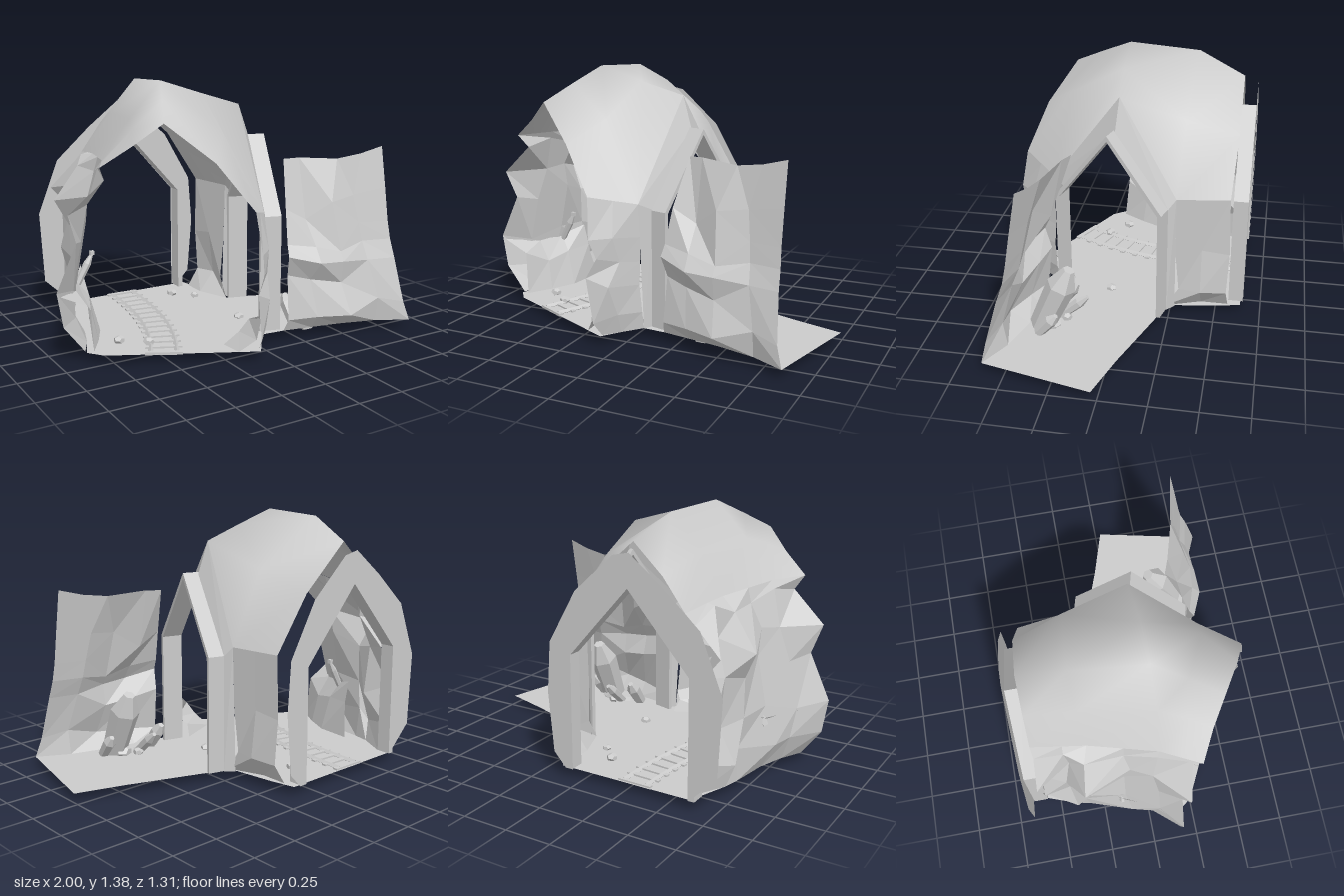
import * as THREE from 'three';

const rock = new THREE.MeshStandardMaterial({ color: 0xcccccc, side: THREE.DoubleSide, flatShading: true });
const smooth = new THREE.MeshStandardMaterial({ color: 0xcccccc, side: THREE.DoubleSide });
const FLOOR = 0.055;

// Surface through rows of [x, y, z] points
function loft(rows, name, material = rock) {
  const n = rows[0].length, index = [];
  for (let i = 0; i < rows.length - 1; i++) {
    for (let j = 0; j < n - 1; j++) {
      const a = i * n + j, b = a + n;
      index.push(a, b, a + 1, b, b + 1, a + 1);
    }
  }
  const g = new THREE.BufferGeometry();
  g.setAttribute('position', new THREE.Float32BufferAttribute(rows.flat(2), 3));
  g.setIndex(index);
  g.computeVertexNormals();
  const m = new THREE.Mesh(g, material);
  m.name = name;
  return m;
}

// Pointed arch outline: posts up to a shoulder, then straight to the apex
function archPoints(half, shoulder, apex) {
  return [[-half, FLOOR], [-half, shoulder], [0, apex], [half, shoulder], [half, FLOOR]];
}

// Thin pointed frame, extruded from z = 0 to z = depth
function archFrame(half, shoulder, apex, t, depth, name) {
  const outer = archPoints(half, shoulder, apex);
  const inner = archPoints(half - t, shoulder - t * 0.4, apex - t * 1.4).reverse();
  const shape = new THREE.Shape([...outer, ...inner].map(p => new THREE.Vector2(...p)));
  const m = new THREE.Mesh(new THREE.ExtrudeGeometry(shape, { depth, bevelEnabled: false }), rock);
  m.name = name;
  return m;
}

// Six-sided crystal from base to a blunt tip
function crystal(from, to, r, name) {
  const a = new THREE.Vector3(...from), b = new THREE.Vector3(...to);
  const len = a.distanceTo(b);
  const profile = [[0, 0], [r * 0.85, 0], [r, len * 0.72], [r * 0.4, len], [0, len]].map(p => new THREE.Vector2(...p));
  const m = new THREE.Mesh(new THREE.LatheGeometry(profile, 6), rock);
  m.position.copy(a);
  m.quaternion.setFromUnitVectors(new THREE.Vector3(0, 1, 0), b.sub(a).normalize());
  m.name = name;
  return m;
}

export function createModel() {
  const group = new THREE.Group();

  // Floor of the main tunnel and the side passage
  const outline = [[-0.62, -0.64], [0.13, -0.64], [0.16, -0.5], [0.2, -0.23], [0.32, -0.2], [0.74, -0.05], [1, 0.03],
    [0.87, 0.62], [0.7, 0.53], [0.49, 0.47], [0.33, 0.44], [0.17, 0.41], [0.04, 0.4], [-0.1, 0.6],
    [-0.8, 0.25], [-0.86, 0.17], [-0.8, 0.03], [-0.75, -0.12], [-0.72, -0.33], [-0.7, -0.42]];
  const floorGeo = new THREE.ShapeGeometry(new THREE.Shape(outline.map(([x, z]) => new THREE.Vector2(x, -z))));
  const floor = new THREE.Mesh(floorGeo.rotateX(-Math.PI / 2), rock);
  floor.position.y = FLOOR;
  floor.name = 'floor';
  group.add(floor);

  // Vaulted roof, front section to back; each runs left eave, crest, right springing line
  group.add(loft([
    [[-0.8, 1, 0.25], [-0.66, 1.1, 0.32], [-0.53, 1.21, 0.4], [-0.32, 1.02, 0.53], [-0.15, 0.78, 0.62]],
    [[-0.75, 1, 0.15], [-0.6, 1.16, 0.19], [-0.45, 1.3, 0.23], [-0.18, 1.14, 0.36], [0.03, 0.72, 0.42]],
    [[-0.7, 1, 0.05], [-0.55, 1.2, 0.06], [-0.37, 1.385, 0.06], [-0.13, 1.31, 0.06], [0.11, 1.24, 0.04]],
    [[-0.6, 0.98, -0.3], [-0.48, 1.19, -0.32], [-0.33, 1.37, -0.33], [0.06, 1.12, -0.31], [0.22, 0.73, -0.28]],
    [[-0.55, 0.95, -0.58], [-0.43, 1.11, -0.58], [-0.27, 1.26, -0.58], [0, 1.02, -0.58], [0.18, 0.73, -0.56]],
  ], 'vault', smooth));

  // Right wall, either side of the side doorway
  group.add(loft([
    [[-0.15, 0.78, 0.62], [-0.06, 0.75, 0.52], [0.03, 0.72, 0.42]],
    [[-0.13, 0.57, 0.655], [-0.04, 0.57, 0.57], [0.04, 0.55, 0.42]],
    [[-0.1, 0.47, 0.63], [-0.02, 0.44, 0.53], [0.04, 0.42, 0.42]],
    [[-0.15, 0.37, 0.65], [-0.05, 0.32, 0.6], [0.04, 0.3, 0.43]],
    [[-0.12, 0.13, 0.635], [-0.03, 0.16, 0.54], [0.05, 0.15, 0.42]],
    [[-0.1, FLOOR, 0.58], [-0.03, FLOOR, 0.5], [0.05, FLOOR, 0.4]],
  ], 'rightFrontWall'));
  group.add(loft([
    [[0.22, 0.73, -0.28], [0.2, 0.73, -0.42], [0.18, 0.73, -0.56]],
    [[0.21, 0.4, -0.28], [0.19, 0.42, -0.42], [0.18, 0.4, -0.57]],
    [[0.2, 0.17, -0.3], [0.22, 0.17, -0.42], [0.19, 0.16, -0.56]],
    [[0.2, FLOOR, -0.23], [0.13, FLOOR, -0.42], [0.13, FLOOR, -0.57]],
  ], 'rightBackWall'));
  // Inner foot of the front pillar
  group.add(loft([
    [[-0.12, 0.24, 0.63], [-0.11, 0.2, 0.5], [0.04, 0.16, 0.4]],
    [[-0.14, 0.13, 0.62], [-0.15, 0.13, 0.47], [0, 0.12, 0.36]],
    [[-0.2, FLOOR, 0.55], [-0.21, FLOOR, 0.42], [0.02, FLOOR, 0.32]],
  ], 'pillarFoot'));

  // Side doorway: frame turned to follow the passage, and a collar back to the vault
  const turn = 1.305, center = new THREE.Vector3(0.135, 0, 0.055);
  const sideFrame = archFrame(0.31, 0.68, 1.075, 0.022, 0.115, 'sideDoorFrame');
  sideFrame.position.copy(center);
  sideFrame.rotation.y = turn;
  group.add(sideFrame);
  const frameEdge = archPoints(0.305, 0.68, 1.065).map(([u, y]) =>
    [center.x + 0.03 + u * Math.cos(turn), y, center.z - u * Math.sin(turn)]);
  group.add(loft([frameEdge, [[0.05, FLOOR, 0.4], [0.03, 0.72, 0.42], [0.11, 1.24, 0.04],
    [0.22, 0.73, -0.28], [0.2, FLOOR, -0.28]]], 'sideDoorCollar'));

  // Back doorway: deep frame and the thin facing slab around it
  const backFrame = archFrame(0.37, 0.68, 1.09, 0.03, 0.08, 'backDoorFrame');
  backFrame.position.set(-0.28, 0, -0.652);
  group.add(backFrame);
  const facing = [[0.1, FLOOR], [0.17, 0.13], [0.2, 0.45], [0.18, 0.72], [0.02, 1], [-0.2, 1.2], [-0.29, 1.22],
    [-0.47, 1.08], [-0.67, 0.9], [-0.79, 0.6], [-0.77, 0.2], [-0.62, FLOOR]];
  const hole = archPoints(0.335, 0.67, 1.05).map(([x, y]) => [x - 0.28, y]);
  const slabShape = new THREE.Shape([...facing, ...hole].map(p => new THREE.Vector2(...p)));
  const slab = new THREE.Mesh(new THREE.ShapeGeometry(slabShape), rock);
  slab.position.z = -0.654;
  slab.name = 'backFacing';
  group.add(slab);

  // Jagged left wall: x per station, from the floor up, closed by the vault's eave
  const stationZ = [0.15, 0.03, -0.12, -0.33, -0.42, -0.57];
  const leftRows = [
    [FLOOR, -0.86, -0.8, -0.75, -0.72, -0.7, -0.62],
    [0.2, -0.97, -0.85, -0.82, -0.72, -0.74, -0.64],
    [0.38, -1, -0.87, -0.77, -0.74, -0.66, -0.7],
    [0.62, -0.89, -0.82, -0.72, -0.74, -0.69, -0.64],
    [0.77, -0.94, -0.77, -0.72, -0.81, -0.63, -0.74],
    [0.93, -0.76, -0.72, -0.67, -0.68, -0.62, -0.6],
  ].map(([y, ...xs], r) => xs.map((x, i) => r === 0 || i === 0 ? [x, y, stationZ[i] + (r > 3 ? 0.03 * (r - 3) : 0)] :
    [x, y + 0.035 * Math.sin(i * 2.4 + r), stationZ[i] + 0.02 * Math.sin(i * 3 + r * 2)]));
  const eave = [[-0.8, 1, 0.25], [-0.7, 1, 0.05], [-0.65, 0.99, -0.12], [-0.6, 0.98, -0.3], [-0.58, 0.97, -0.42], [-0.55, 0.95, -0.58]];
  group.add(loft([...leftRows, eave], 'leftWall'));
  // Rock ledge inside the left wall
  group.add(loft([
    [[-0.98, 0.36, 0.15], [-0.84, 0.33, 0], [-0.78, 0.34, -0.15], [-0.7, 0.38, -0.28]],
    [[-0.84, 0.29, 0.15], [-0.77, 0.22, 0.02], [-0.72, 0.25, -0.12], [-0.67, 0.26, -0.28]],
    [[-0.82, FLOOR, 0.17], [-0.74, FLOOR, 0.04], [-0.67, FLOOR, -0.1], [-0.65, FLOOR, -0.3]],
  ], 'ledge'));

  // Leaning wall of the side passage, foot to top
  group.add(loft([
    [[0.17, FLOOR, 0.41], [0.33, FLOOR, 0.44], [0.49, FLOOR, 0.47], [0.7, FLOOR, 0.53], [0.87, FLOOR, 0.62]],
    [[0.18, 0.12, 0.44], [0.33, 0.13, 0.5], [0.5, 0.13, 0.57], [0.7, 0.19, 0.55], [0.84, 0.16, 0.6]],
    [[0.19, 0.36, 0.41], [0.31, 0.33, 0.45], [0.48, 0.3, 0.5], [0.66, 0.4, 0.5], [0.82, 0.4, 0.535]],
    [[0.17, 0.47, 0.45], [0.33, 0.43, 0.52], [0.48, 0.42, 0.52], [0.65, 0.5, 0.46], [0.815, 0.5, 0.5]],
    [[0.18, 0.53, 0.42], [0.33, 0.51, 0.47], [0.48, 0.47, 0.49], [0.64, 0.6, 0.44], [0.81, 0.6, 0.48]],
    [[0.2, 0.71, 0.37], [0.33, 0.64, 0.37], [0.46, 0.73, 0.43], [0.62, 0.75, 0.41], [0.81, 0.78, 0.45]],
    [[0.25, 0.96, 0.27], [0.33, 0.965, 0.3], [0.54, 0.95, 0.36], [0.68, 0.97, 0.385], [0.81, 1.005, 0.41]],
  ], 'passageWall'));

  // Crystals growing from the foot of the passage wall
  [[[0.5, 0.06, 0.4], [0.5, 0.42, 0.24], 0.08], [[0.39, 0.05, 0.33], [0.39, 0.19, 0.17], 0.03],
    [[0.28, 0.06, 0.36], [0.28, 0.2, 0.25], 0.04], [[0.57, 0.06, 0.4], [0.58, 0.18, 0.3], 0.035]]
    .forEach(c => group.add(crystal(...c, 'crystal')));

  // Loose stones
  [[0.36, 0.038, 0.35, 0.045], [0.48, 0.065, 0.35, 0.055], [0.42, 0.07, 0.28, 0.03], [-0.54, 0.07, 0.22, 0.03],
    [-0.66, 0.07, 0.12, 0.03], [-0.05, 0.07, -0.45, 0.03], [0.05, 0.065, -0.35, 0.025], [0.08, 0.06, 0.1, 0.03]]
    .forEach(([x, y, z, r], i) => {
      const stone = new THREE.Mesh(new THREE.DodecahedronGeometry(r), rock);
      stone.position.set(x, y, z);
      stone.scale.y = 0.75;
      stone.rotation.y = i;
      stone.name = 'stone';
      group.add(stone);
    });

  // Curved railway: sleepers and two rails, half sunk in the floor
  const path = new THREE.QuadraticBezierCurve3(new THREE.Vector3(-0.3, 0, -0.62),
    new THREE.Vector3(-0.31, 0, -0.05), new THREE.Vector3(-0.53, 0, 0.37));
  const rails = [[], []], count = 13;
  for (let i = 0; i <= count; i++) {
    const p = path.getPointAt(i / count), t = path.getTangentAt(i / count);
    [-1, 1].forEach((s, k) => rails[k].push(new THREE.Vector3(p.x + s * t.z * 0.065, 0.058, p.z - s * t.x * 0.065)));
    const sleeper = new THREE.Mesh(new THREE.BoxGeometry(0.19, 0.014, 0.026), rock);
    sleeper.position.set(p.x, 0.057, p.z);
    sleeper.rotation.y = Math.atan2(t.x, t.z);
    sleeper.name = 'sleeper';
    group.add(sleeper);
  }
  rails.forEach(pts => {
    const rail = new THREE.Mesh(new THREE.TubeGeometry(new THREE.CatmullRomCurve3(pts), 24, 0.014, 4), rock);
    rail.name = 'rail';
    group.add(rail);
  });

  // Torch leaning out of the left wall
  group.add(crystal([-0.78, 0.3, -0.15], [-0.69, 0.47, -0.14], 0.02, 'torch'));
  const flame = new THREE.Mesh(new THREE.BoxGeometry(0.022, 0.022, 0.022), rock);
  flame.position.set(-0.69, 0.477, -0.14);
  flame.name = 'torchTip';
  group.add(flame);

  return group;
}
